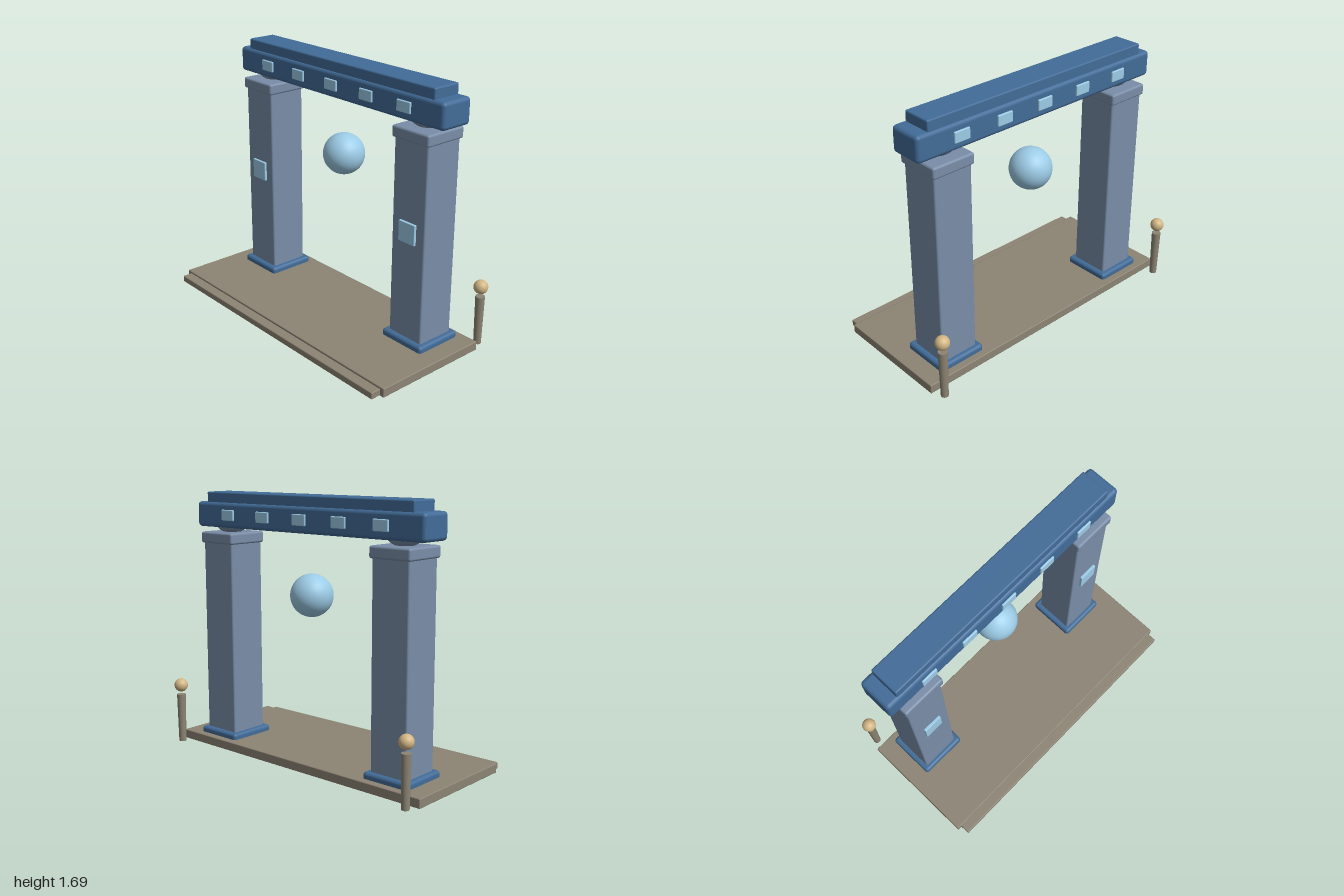
import * as THREE from 'three';
import { RoundedBoxGeometry } from 'three/addons/geometries/RoundedBoxGeometry.js';

const mat = (color) => new THREE.MeshStandardMaterial({ color });

export function createModel() {
  const group = new THREE.Group();
  const stone = mat(0x8c8474), slate = mat(0x7a8ea8), blue = mat(0x426c98);
  const glow = mat(0x9ccbe6), brass = mat(0xd2b684);
  const midZ = -0.167;

  function add(name, geometry, material, x, y, z) {
    const mesh = new THREE.Mesh(geometry, material);
    mesh.name = name;
    mesh.position.set(x, y, z);
    group.add(mesh);
    return mesh;
  }
  // Rounded box centred on x and z, spanning y0 to y1
  function block(name, material, w, d, y0, y1, x, z, r) {
    return add(name, new RoundedBoxGeometry(w, y1 - y0, d, 3, r), material, x, (y0 + y1) / 2, z);
  }

  // Floor slab and front step
  block('platform', stone, 2, 0.8, 0, 0.06, 0, 0.02, 0.006);
  block('frontStep', stone, 1.94, 0.16, 0.002, 0.046, 0, 0.405, 0.006);

  for (const side of [-1, 1]) {
    // Pillar with plinth, cap, bearing and lit panel
    const x = side * 0.712;
    block('plinth', blue, 0.33, 0.33, 0.003, 0.1, x, midZ, 0.02);
    block('pillar', slate, 0.265, 0.265, 0.06, 1.37, x, midZ, 0.012);
    block('pillarCap', slate, 0.292, 0.295, 1.357, 1.43, x, midZ, 0.014);
    add('bearing', new THREE.SphereGeometry(0.1, 32, 16), slate, x, 1.475, midZ).scale.y = 0.55;
    block('pillarPanel', glow, 0.13, 0.03, 0.733, 0.864, x, -0.033, 0.004);

    // Rear lamp post
    add('lampPost', new THREE.CylinderGeometry(0.03, 0.024, 0.326, 24), stone, side * 0.95, 0.168, -0.445);
    add('lampGlobe', new THREE.SphereGeometry(0.045, 32, 20), brass, side * 0.95, 0.395, -0.445);
  }

  // Lintel and its top slab
  block('lintel', blue, 1.86, 0.225, 1.46, 1.625, 0, midZ, 0.025);
  block('topSlab', blue, 1.69, 0.195, 1.615, 1.69, 0, midZ, 0.01);

  // Lit windows on both faces of the lintel
  for (let i = -2; i <= 2; i++) {
    for (const face of [-1, 1]) {
      block('lintelWindow', glow, 0.11, 0.03, 1.508, 1.578, i * 0.314, midZ + face * 0.109, 0.006);
    }
  }

  // Floating orb
  add('orb', new THREE.SphereGeometry(0.135, 48, 32), glow, 0, 1.073, midZ);

  return group;
}
